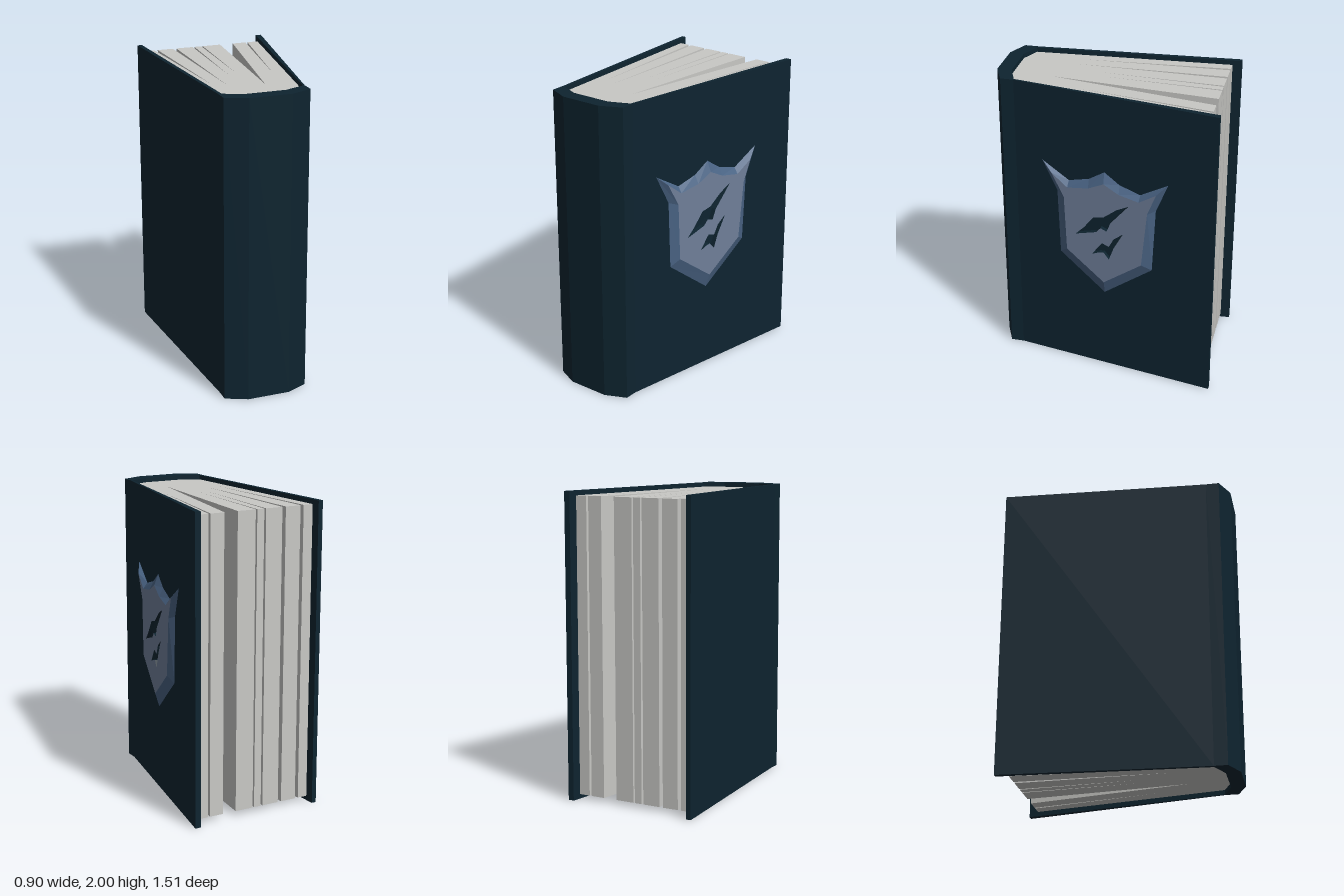
import * as THREE from 'three';

const material = (name, color) => Object.assign(new THREE.MeshStandardMaterial({ color }), { name });

// Vertical prism from a plan outline of [x, z] points
function prism(plan, y0, y1) {
  const shape = new THREE.Shape(plan.map(([x, z]) => new THREE.Vector2(x, -z)));
  const geo = new THREE.ExtrudeGeometry(shape, { depth: y1 - y0, bevelEnabled: false });
  return geo.rotateX(-Math.PI / 2).translate(0, y0, 0);
}

// Point on the slanted cover: u runs toward the page edge, lift is height above the board
const onCover = (u, y, lift) => [0.2 + (0.6 + u) * 0.1838 + lift, y, -u];

// Flat-sided band joining two matching loops of [u, y] points
function band(low, lowLift, high, highLift) {
  const pos = [];
  low.forEach((_, i) => {
    const j = (i + 1) % low.length;
    const a = onCover(...low[i], lowLift), b = onCover(...low[j], lowLift);
    const c = onCover(...high[j], highLift), d = onCover(...high[i], highLift);
    pos.push(...a, ...b, ...c, ...a, ...c, ...d);
  });
  const geo = new THREE.BufferGeometry();
  geo.setAttribute('position', new THREE.Float32BufferAttribute(pos, 3));
  geo.computeVertexNormals();
  return geo;
}

export function createModel() {
  const book = new THREE.Group();
  book.name = 'book';
  const coverMat = material('dark teal cover', 0x0e2430);
  const pageMat = material('page grey', 0xc8c8c5);
  const faceMat = material('shield face', 0x6f7f99);
  const rimMat = material('shield rim', 0x4a6485);
  const add = (name, geo, mat, parent = book) => {
    const mesh = new THREE.Mesh(geo, mat);
    mesh.name = name;
    parent.add(mesh);
  };

  // Boards and faceted spine in one wrap
  add('cover', prism([
    [-0.455, -0.757], [-0.36, 0.6], [-0.36, 0.687], [-0.22, 0.75], [0.06, 0.75], [0.2, 0.687],
    [0.2, 0.6], [0.45, -0.757], [0.411, -0.757], [0.188, 0.6], [0.055, 0.655], [-0.215, 0.655],
    [-0.338, 0.6], [-0.424, -0.757],
  ], 0, 2), coverMat);

  // Page block with wedge gaps: [left edge, right edge, apex x, apex z]
  const gaps = [
    [-0.353, -0.33, -0.286, 0.27], [-0.222, -0.197, -0.202, 0.3], [-0.079, -0.066, -0.107, 0.09],
    [-0.016, -0.005, -0.047, 0.08], [0.122, 0.216, 0.026, 0.39], [0.311, 0.326, 0.172, 0.16],
  ];
  const back = -0.697;
  const plan = [[-0.42, back]];
  for (const [l, r, ax, az] of gaps) plan.push([l, back], [ax, az], [r, back]);
  plan.push([0.401, back], [0.188, 0.6], [0.055, 0.655], [-0.215, 0.655], [-0.338, 0.6]);
  add('pages', prism(plan, 0.03, 1.97), pageMat);

  // Horned shield on the left board
  const shield = new THREE.Group();
  shield.name = 'shield';
  book.add(shield);
  const lift = 0.03;
  const outer = [
    [-0.414, 1.475], [-0.313, 1.273], [-0.297, 0.817], [0.016, 0.573], [0.345, 0.827], [0.366, 1.273],
    [0.446, 1.475], [0.26, 1.365], [0.12, 1.405], [0.016, 1.475], [-0.09, 1.405], [-0.23, 1.365],
  ];
  const inner = [
    [-0.345, 1.41], [-0.26, 1.252], [-0.244, 0.865], [0.016, 0.668], [0.276, 0.865], [0.313, 1.252],
    [0.37, 1.4], [0.255, 1.325], [0.12, 1.35], [0.016, 1.403], [-0.09, 1.35], [-0.235, 1.325],
  ];
  add('shieldRim', band(outer, 0, inner, lift), rimMat, shield);

  // Jagged cut-outs, listed clockwise so their walls face inward
  const cuts = [
    [[-0.18, 0.995], [-0.122, 1.056], [-0.053, 1.146], [0.016, 1.162], [0.106, 1.236], [0.186, 1.279],
      [0.064, 1.13], [0.037, 1.061], [-0.005, 1.077], [-0.037, 1.04]],
    [[-0.064, 0.87], [-0.016, 0.939], [0.005, 0.966], [0.053, 0.95], [0.085, 1.013], [0.149, 1.066],
      [0.085, 0.944], [0.053, 0.854], [0.016, 0.897], [-0.016, 0.891]],
  ];
  const toVec = ([u, y]) => new THREE.Vector2(u, y);
  const face = new THREE.Shape(inner.map(toVec));
  for (const cut of cuts) {
    face.holes.push(new THREE.Path(cut.map(toVec)));
    add('cutoutWall', band(cut, 0, cut, lift), coverMat, shield);
  }
  const faceGeo = new THREE.ShapeGeometry(face);
  const p = faceGeo.attributes.position;
  for (let i = 0; i < p.count; i++) p.setXYZ(i, ...onCover(p.getX(i), p.getY(i), lift));
  faceGeo.computeVertexNormals();
  add('shieldFace', faceGeo, faceMat, shield);

  return book;
}
